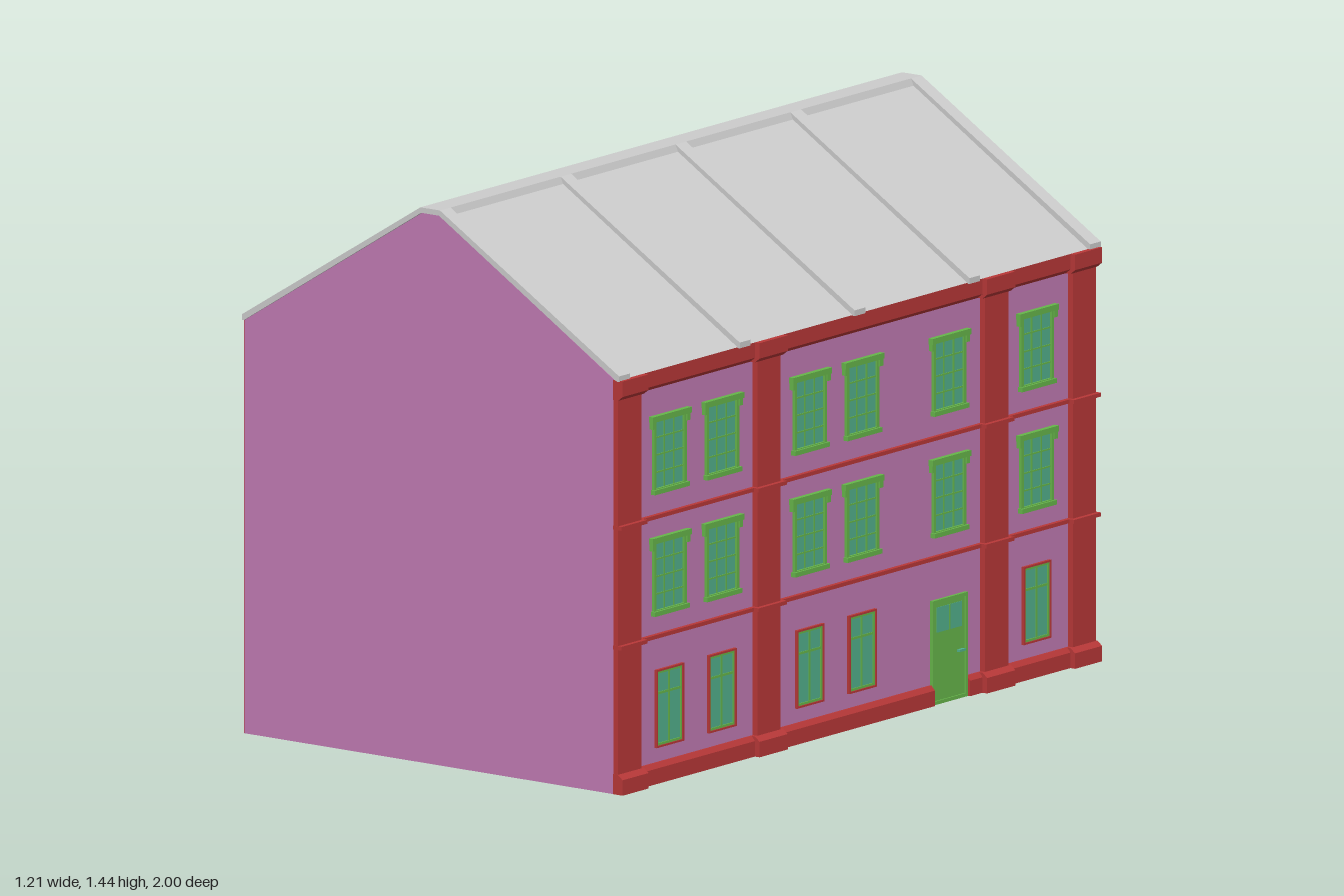
import * as THREE from 'three';

const mat = (color) => new THREE.MeshStandardMaterial({ color });
const purple = mat(0xc07ab2), red = mat(0xb83838), green = mat(0x66b54a);
const glass = mat(0x52b08c), grey = mat(0xcccccc);
const WALL = 0.575; // x of the facade wall

function add(parent, name, geometry, material) {
  const mesh = new THREE.Mesh(geometry, material);
  mesh.name = name;
  parent.add(mesh);
  return mesh;
}

// Box given by its limits
function box(parent, name, material, x0, x1, y0, y1, z0, z1) {
  const mesh = add(parent, name, new THREE.BoxGeometry(x1 - x0, y1 - y0, z1 - z0), material);
  mesh.position.set((x0 + x1) / 2, (y0 + y1) / 2, (z0 + z1) / 2);
  return mesh;
}

// XY outline extruded between two z values
function prism(parent, name, material, points, z0, z1) {
  const shape = new THREE.Shape(points.map(([x, y]) => new THREE.Vector2(x, y)));
  const geometry = new THREE.ExtrudeGeometry(shape, { depth: z1 - z0, bevelEnabled: false });
  geometry.translate(0, 0, z0);
  return add(parent, name, geometry, material);
}

// Mouldings along the facade, reaching out to x
function mouldings(parent, name, x, z0, z1, skipBase) {
  const i = x - 0.015;
  if (!skipBase) {
    prism(parent, name + 'Base', red,
      [[WALL, 0], [x, 0], [x, 0.04], [i, 0.052], [WALL, 0.052]], z0, z1);
  }
  prism(parent, name + 'Cornice', red,
    [[WALL, 1.02], [i, 1.02], [x, 1.032], [x, 1.072], [WALL, 1.072]], z0, z1);
  for (const y of [0.38, 0.69]) box(parent, name + 'Band', red, WALL, x - 0.003, y - 0.005, y + 0.005, z0, z1);
}

// Four-sided frame standing out from the wall
function frame(parent, material, out, t, y0, y1, z0, z1) {
  box(parent, 'frameSide', material, WALL, out, y0, y1, z0, z0 + t);
  box(parent, 'frameSide', material, WALL, out, y0, y1, z1 - t, z1);
  box(parent, 'frameTop', material, WALL, out, y1 - t, y1, z0 + t, z1 - t);
  box(parent, 'frameBottom', material, WALL, out, y0, y0 + t, z0 + t, z1 - t);
}

// Upper window with hood, sill and glazing bars
function upperWindow(parent, y, z) {
  const g = new THREE.Group();
  g.name = 'upperWindow';
  box(g, 'pane', glass, WALL - 0.01, WALL + 0.002, 0.01, 0.19, -0.06, 0.06);
  frame(g, green, WALL + 0.008, 0.009, 0.005, 0.195, -0.067, 0.067);
  for (const s of [-0.02, 0.02]) box(g, 'verticalBar', green, WALL, WALL + 0.004, 0.012, 0.188, s - 0.002, s + 0.002);
  for (const h of [0.055, 0.1, 0.145]) box(g, 'crossBar', green, WALL, WALL + 0.004, h - 0.002, h + 0.002, -0.06, 0.06);
  box(g, 'hood', green, WALL, WALL + 0.014, 0.188, 0.203, -0.08, 0.08);
  for (const s of [-1, 1]) {
    const ear = box(g, 'hoodEnd', green, WALL, WALL + 0.012, 0.17, 0.188, -0.007, 0.007);
    ear.position.z = s * 0.071;
  }
  box(g, 'sill', green, WALL, WALL + 0.014, 0, 0.012, -0.072, 0.072);
  g.position.set(0, y, z);
  parent.add(g);
}

// Ground-floor window with red surround and T-shaped bars
function groundWindow(parent, z) {
  const g = new THREE.Group();
  g.name = 'groundWindow';
  box(g, 'pane', glass, WALL - 0.01, WALL + 0.002, 0.095, 0.285, -0.05, 0.05);
  frame(g, red, WALL + 0.008, 0.005, 0.09, 0.292, -0.057, 0.057);
  frame(g, green, WALL + 0.005, 0.006, 0.095, 0.287, -0.052, 0.052);
  box(g, 'mullion', green, WALL, WALL + 0.004, 0.1, 0.282, -0.003, 0.003);
  box(g, 'transom', green, WALL, WALL + 0.004, 0.227, 0.233, -0.046, 0.046);
  g.position.z = z;
  parent.add(g);
}

function door(parent, z) {
  const g = new THREE.Group();
  g.name = 'door';
  box(g, 'doorLeaf', green, WALL - 0.01, WALL + 0.005, 0, 0.262, -0.066, 0.066);
  frame(g, green, WALL + 0.009, 0.009, 0, 0.27, -0.073, 0.073);
  box(g, 'doorGlass', glass, WALL, WALL + 0.006, 0.185, 0.25, -0.052, 0.052);
  box(g, 'doorGlassBar', green, WALL, WALL + 0.008, 0.185, 0.25, -0.002, 0.002);
  box(g, 'handle', glass, WALL, WALL + 0.014, 0.121, 0.127, -0.057, -0.032);
  g.position.z = z;
  parent.add(g);
}

export function createModel() {
  const model = new THREE.Group();
  model.name = 'townHouse';

  // House body with gable, and the red rear wall
  prism(model, 'walls', purple, [[-0.6, 0], [WALL, 0], [WALL, 1.074], [0.022, 1.424],
    [-0.033, 1.424], [-0.6, 1.07]], -0.99, 0.995);
  box(model, 'rearWall', red, -0.603, -0.599, 0, 1.07, -0.99, 0.994);

  // Roof: slopes, raised ribs and ridge
  const slope = [[0.59, 1.072], [0.023, 1.427], [-0.034, 1.427], [-0.602, 1.072]];
  prism(model, 'roof', grey, slope, -0.994, 0.992);
  const rib = [[0.59, 1.07], [0.597, 1.07], [0.597, 1.085], [0.026, 1.438], [-0.036, 1.438],
    [-0.605, 1.085], [-0.605, 1.07], [-0.6, 1.07], [-0.034, 1.424], [0.023, 1.424]];
  for (const z of [-0.978, -0.477, 0, 0.477, 0.978]) {
    prism(model, 'roofRib', grey, rib, z - 0.022, z + 0.022);
  }
  prism(model, 'ridge', grey, [[0.034, 1.42], [0.026, 1.438], [-0.036, 1.438], [-0.044, 1.42]], -0.98, 0.98);

  // Facade: pilasters with wider bases and caps, mouldings between them
  const facade = new THREE.Group();
  facade.name = 'facade';
  model.add(facade);
  const pilasters = [[0.898, 0.995], [0.32, 0.417], [-0.625, -0.528], [-0.99, -0.893]];
  for (const [z0, z1] of pilasters) {
    box(facade, 'pilaster', red, WALL, 0.59, 0, 1.07, z0, z1);
    mouldings(facade, 'pilaster', 0.605, Math.max(z0 - 0.01, -0.995), Math.min(z1 + 0.01, 0.996));
  }
  const doorZ = -0.393;
  mouldings(facade, 'wall', 0.59, -0.98, 0.98, true);
  for (const [z0, z1] of [[-0.98, doorZ - 0.073], [doorZ + 0.073, 0.98]]) {
    prism(facade, 'plinth', red, [[WALL, 0], [0.59, 0], [0.59, 0.04], [0.58, 0.052], [WALL, 0.052]], z0, z1);
  }

  // Windows and door
  for (const z of [0.768, 0.55, 0.185, -0.032, doorZ, -0.757]) {
    for (const y of [0.433, 0.748]) upperWindow(facade, y, z);
    if (z === doorZ) door(facade, z);
    else groundWindow(facade, z);
  }
  return model;
}
